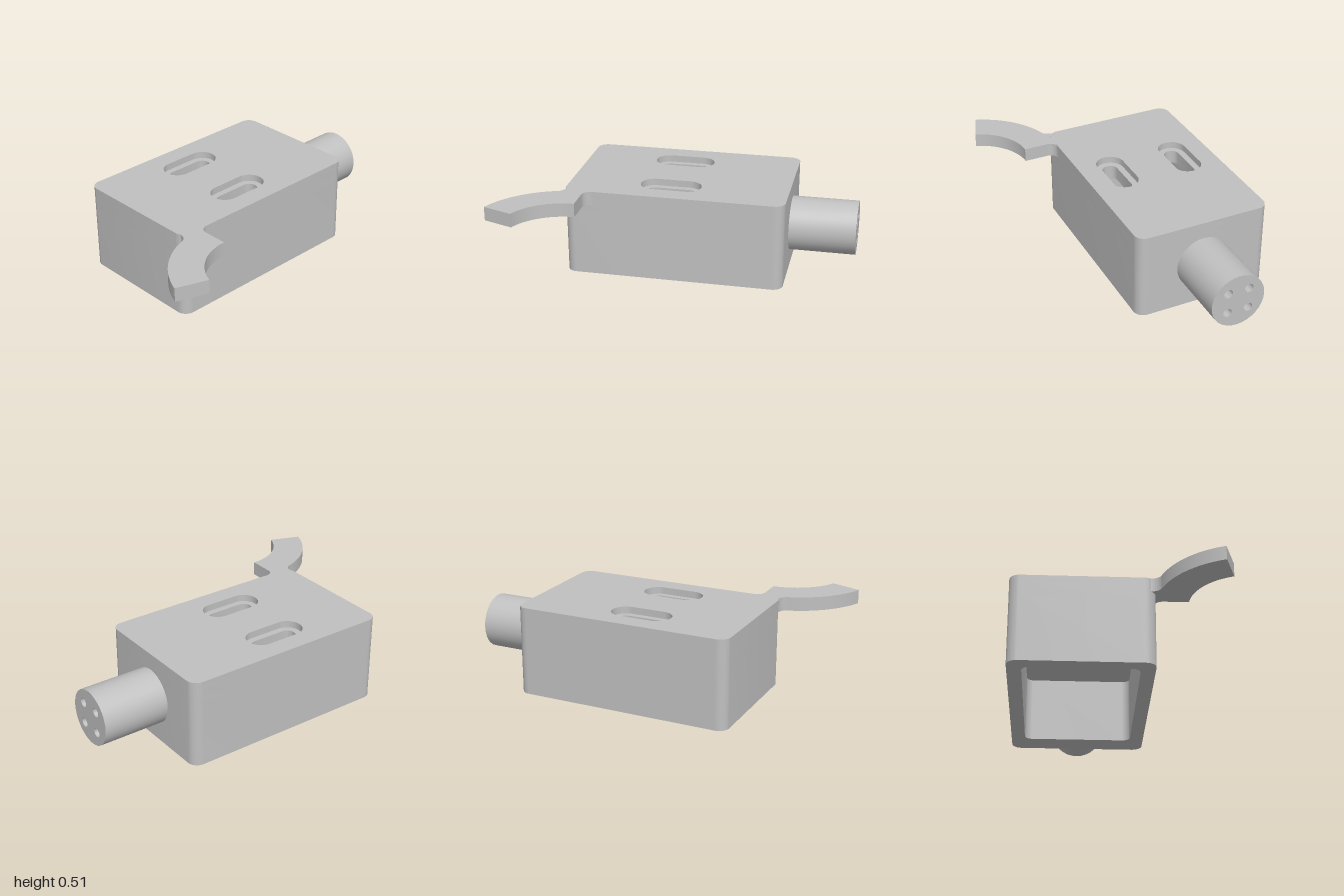
import * as THREE from 'three';
import { toCreasedNormals } from 'three/addons/utils/BufferGeometryUtils.js';

const grey = new THREE.MeshStandardMaterial({ color: 0xc0c0c0 });
grey.name = 'plain grey';

// Plans are drawn with x right and -z up, then laid flat
function roundedRect(target, x0, x1, z0, z1, r) {
  const [b, t] = [-z1, -z0];
  target.moveTo(x0 + r, b);
  target.lineTo(x1 - r, b).absarc(x1 - r, b + r, r, -Math.PI / 2, 0, false);
  target.lineTo(x1, t - r).absarc(x1 - r, t - r, r, 0, Math.PI / 2, false);
  target.lineTo(x0 + r, t).absarc(x0 + r, t - r, r, Math.PI / 2, Math.PI, false);
  target.lineTo(x0, b + r).absarc(x0 + r, b + r, r, Math.PI, Math.PI * 1.5, false);
  return target;
}

function extrude(shape, depth) {
  const g = new THREE.ExtrudeGeometry(shape, { depth, bevelEnabled: false, curveSegments: 16 });
  return toCreasedNormals(g, 0.6);
}

function part(name, geometry) {
  const mesh = new THREE.Mesh(geometry, grey);
  mesh.name = name;
  return mesh;
}

const slab = (name, shape, y0, y1) =>
  part(name, extrude(shape, y1 - y0).rotateX(-Math.PI / 2).translate(0, y0, 0));

const bodyOutline = () => roundedRect(new THREE.Shape(), -0.65, 0.615, -0.6, 0.195, 0.06);

// Lid layer with two long slots of the given half size
function slottedLid(halfLength, halfWidth) {
  const shape = bodyOutline();
  for (const z of [-0.403, 0]) {
    shape.holes.push(roundedRect(new THREE.Path(), -0.065 - halfLength, -0.065 + halfLength,
      z - halfWidth, z + halfWidth, halfWidth - 0.0005));
  }
  return shape;
}

export function createModel() {
  const model = new THREE.Group();
  model.name = 'connectorHousing';

  // Housing, open underneath, with a thicker wall behind the plug
  const walls = bodyOutline();
  walls.holes.push(roundedRect(new THREE.Path(), -0.57, 0.46, -0.52, 0.115, 0.045));
  model.add(slab('housingWalls', walls, 0, 0.39));
  model.add(slab('lidLower', slottedLid(0.14, 0.045), 0.39, 0.47));
  model.add(slab('lidUpper', slottedLid(0.177, 0.082), 0.47, 0.51));

  // Curved arm with fillets where it joins the housing corner
  const arm = new THREE.Shape();
  const cx = -0.53, cy = -0.7, end = Math.PI + Math.atan2(-0.17, 0.47);
  arm.moveTo(-0.53, -0.385);
  arm.lineTo(-0.53, -0.245);
  arm.absarc(-0.48, -0.245, 0.05, Math.PI, Math.PI / 2, true);
  arm.lineTo(-0.48, -0.15);
  arm.lineTo(-0.64, -0.15);
  arm.quadraticCurveTo(-0.638, -0.205, -0.675, -0.222);
  arm.absarc(cx, cy, 0.5, Math.atan2(0.478, -0.145), end, false);
  arm.absarc(cx, cy, 0.315, end, Math.PI / 2, true);
  model.add(slab('curvedArm', arm, 0.43, 0.5099));

  // Round plug with four pin holes, extruded along x
  const plug = new THREE.Shape();
  plug.absarc(0, 0, 0.158, 0, Math.PI * 2, false);
  for (const u of [-0.062, 0.062]) for (const v of [-0.062, 0.062]) {
    const hole = new THREE.Path();
    hole.absarc(u, v, 0.026, 0, Math.PI * 2, true);
    plug.holes.push(hole);
  }
  model.add(part('plug', extrude(plug, 0.395).rotateY(Math.PI / 2).translate(0.605, 0.255, -0.199)));

  return model;
}
